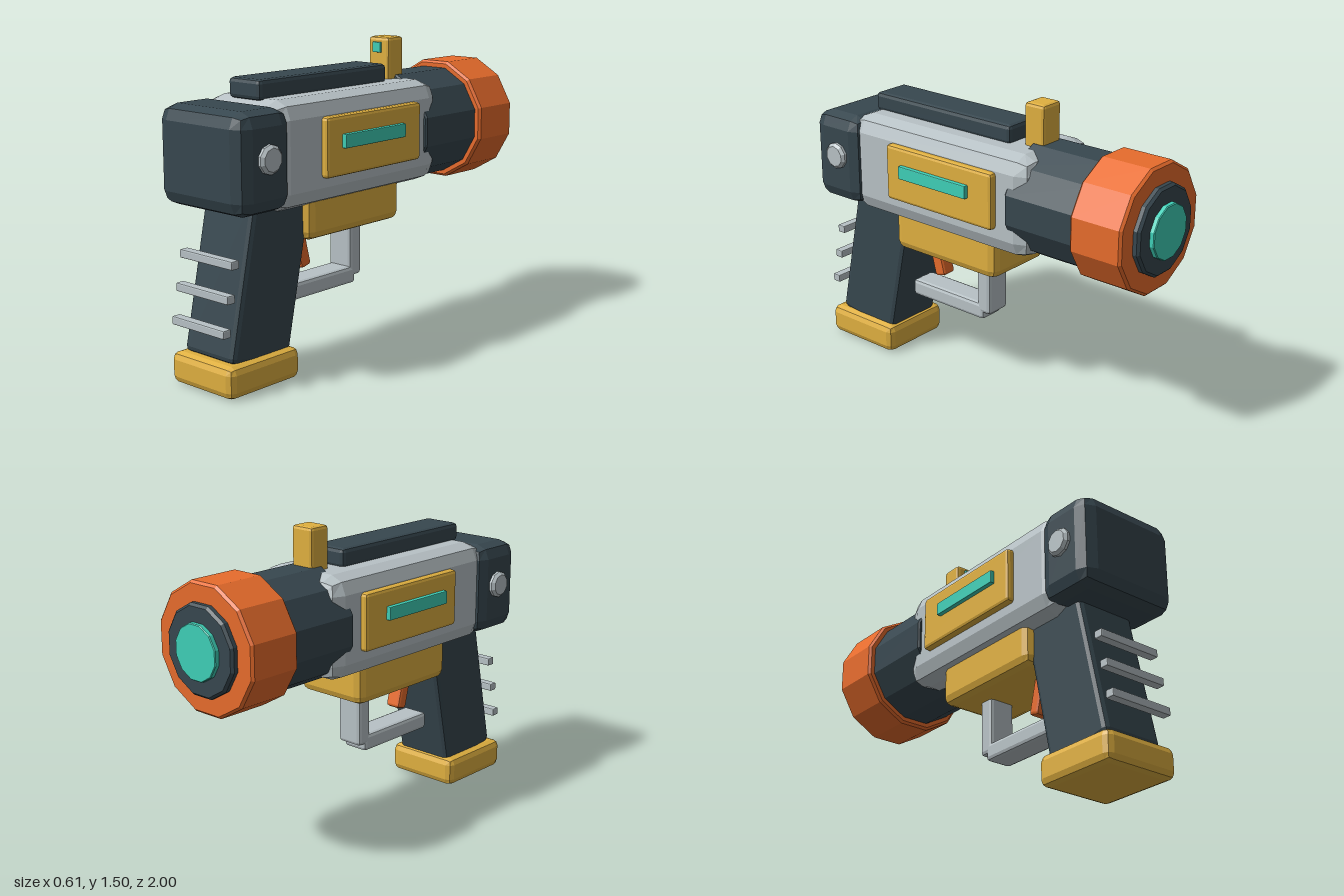
import * as THREE from 'three';
import { RoundedBoxGeometry } from 'three/addons/geometries/RoundedBoxGeometry.js';

const paint = (color) => new THREE.MeshStandardMaterial({ color, flatShading: true });

export function createModel() {
  const model = new THREE.Group();
  model.name = 'toyBlaster';
  const dark = paint(0x37474f), grey = paint(0xb8c2c6), yellow = paint(0xe0b040);
  const orange = paint(0xe86c2c), teal = paint(0x3fd0b8);

  const add = (name, geometry, material) => {
    const mesh = new THREE.Mesh(geometry, material);
    mesh.name = name;
    model.add(mesh);
    return mesh;
  };

  // Bevelled block given by its [min, max] along each axis
  const block = (name, material, x, y, z, bevel) => {
    const mesh = add(name, new RoundedBoxGeometry(x[1] - x[0], y[1] - y[0], z[1] - z[0], 1, bevel), material);
    mesh.position.set((x[0] + x[1]) / 2, (y[0] + y[1]) / 2, (z[0] + z[1]) / 2);
    return mesh;
  };
  const centred = (name, material, half, y, z, bevel) => block(name, material, [-half, half], y, z, bevel);

  // Faceted disc with bevelled rims, its axis along y
  const disc = (radius, length, bevel, sides) => {
    const h = length / 2;
    const profile = [[0, -h], [radius - bevel, -h], [radius, bevel - h], [radius, h - bevel], [radius - bevel, h], [0, h]];
    return new THREE.LatheGeometry(profile.map(([r, y]) => new THREE.Vector2(r, y)), sides, Math.PI / sides);
  };

  // Main body
  centred('body', grey, 0.25, [0.8, 1.3], [-0.4, 0.74], 0.085);
  centred('rearCap', dark, 0.272, [0.82, 1.28], [0.66, 0.975], 0.07);
  centred('topRail', dark, 0.1, [1.29, 1.385], [-0.17, 0.695], 0.02);

  // Barrel and muzzle, running towards -z
  const round = (name, material, radius, z0, z1, bevel) => {
    const mesh = add(name, disc(radius, z1 - z0, bevel, 12), material);
    mesh.rotation.x = Math.PI / 2;
    mesh.position.set(0, 1.05, (z0 + z1) / 2);
  };
  round('barrel', dark, 0.277, -0.72, -0.275, 0.008);
  round('muzzle', orange, 0.311, -0.945, -0.67, 0.012);
  round('muzzleRing', dark, 0.217, -0.977, -0.92, 0.012);
  round('muzzleLens', teal, 0.133, -1, -0.95, 0.004);

  // Sight with its small lamp
  centred('sight', yellow, 0.064, [1.26, 1.505], [-0.34, -0.225], 0.016);
  centred('sightLamp', teal, 0.025, [1.43, 1.48], [-0.222, -0.207], 0.003);

  // Side panels, light strips and bolts
  for (const side of [1, -1]) {
    const label = side > 0 ? 'left' : 'right';
    const span = (a, b) => (side > 0 ? [a, b] : [-b, -a]);
    block(label + 'Panel', yellow, span(0.225, 0.285), [0.93, 1.21], [-0.21, 0.455], 0.016);
    block(label + 'LightStrip', teal, span(0.265, 0.307), [1.06, 1.125], [-0.07, 0.355], 0.004);
    const bolt = add(label + 'Bolt', disc(0.067, 0.07, 0.014, 10), grey);
    bolt.rotation.z = Math.PI / 2;
    bolt.position.set(side * 0.264, 1.07, 0.81);
  }

  // Slanted grip, base and ribs
  const grip = centred('grip', dark, 0.16, [0.105, 0.855], [0.505, 0.87], 0.025);
  grip.rotation.x = -0.208;
  centred('gripBase', yellow, 0.2, [0, 0.15], [0.55, 0.99], 0.035);
  for (let i = 0; i < 3; i++) {
    const y = 0.305 + i * 0.15, z = 0.978 - i * 0.028;
    centred('gripRib' + (i + 1), grey, 0.17, [y - 0.02, y + 0.02], [z - 0.023, z + 0.023], 0.006);
  }

  // Trigger housing, trigger and guard
  centred('triggerHousing', yellow, 0.2, [0.63, 0.86], [-0.16, 0.49], 0.042);
  const trigger = centred('trigger', orange, 0.042, [0.455, 0.7], [0.335, 0.4], 0.015);
  trigger.rotation.x = 0.25;
  centred('guardFront', grey, 0.07, [0.355, 0.68], [-0.02, 0.063], 0.018);
  centred('guardBottom', grey, 0.07, [0.318, 0.405], [0.022, 0.5], 0.018);

  return model;
}
